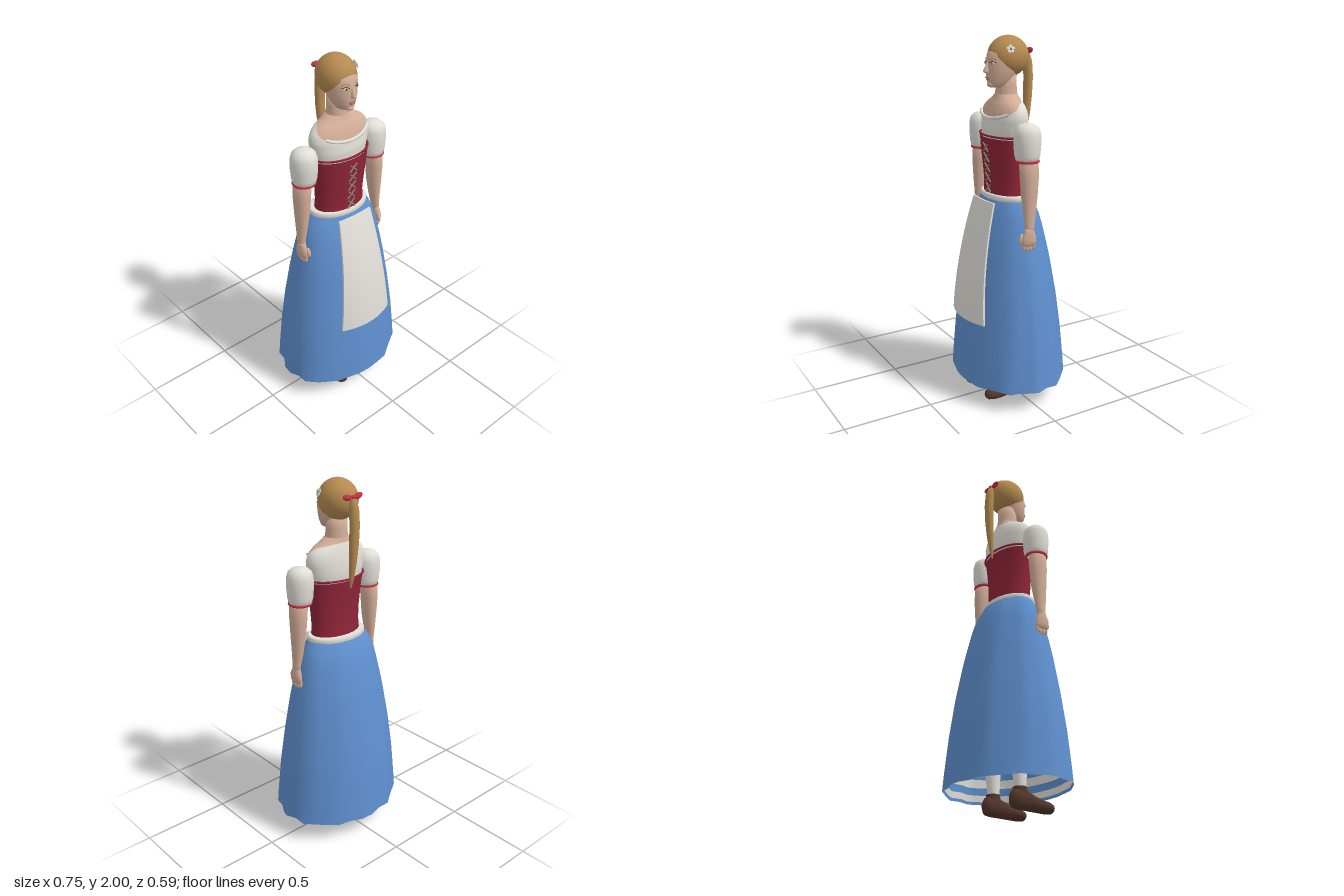
import * as THREE from 'three';

const mat = (name, color, side = THREE.FrontSide) => {
  const m = new THREE.MeshStandardMaterial({ color, side });
  m.name = name;
  return m;
};

// Rows are [y, halfWidth, frontZ, backZ, centreX], listed from low to high.
function sample(rows, y) {
  let i = 0;
  while (i < rows.length - 2 && y > rows[i + 1][0]) i++;
  const a = rows[i], b = rows[i + 1];
  const t = THREE.MathUtils.clamp((y - a[0]) / (b[0] - a[0]), 0, 1);
  return [y, 1, 2, 3, 4].map((_, k) => (k ? (a[k] || 0) + ((b[k] || 0) - (a[k] || 0)) * t : y));
}

// Closed rings of points joined into a smooth skin
function skin(rings, caps = false) {
  const n = rings[0].length, last = rings.length - 1;
  const pts = rings.flat(), idx = [];
  for (let i = 0; i < last; i++) for (let j = 0; j < n; j++) {
    const k = (j + 1) % n, a = i * n + j, b = i * n + k, c = a + n, d = b + n;
    idx.push(a, c, b, b, c, d);
  }
  if (caps) for (const r of [0, last]) {
    const mid = rings[r].reduce((s, p) => s.add(p), new THREE.Vector3()).divideScalar(n);
    const m = pts.push(mid) - 1;
    for (let j = 0; j < n; j++) {
      const a = r * n + j, b = r * n + (j + 1) % n;
      idx.push(m, ...(r ? [b, a] : [a, b]));
    }
  }
  const g = new THREE.BufferGeometry().setFromPoints(pts);
  g.setIndex(idx);
  g.computeVertexNormals();
  return g;
}

const ringPoint = ([y, rx, zf, zb, cx = 0], a) => new THREE.Vector3(
  cx + rx * Math.cos(a), y, (zf + zb) / 2 + (zf - zb) / 2 * Math.sin(a));
const angles = n => Array.from({ length: n }, (_, j) => j / n * Math.PI * 2);
const loft = (rows, n = 32, caps = true) => skin(rows.map(r => angles(n).map(a => ringPoint(r, a))), caps);

export function createModel() {
  const model = new THREE.Group();
  const D = THREE.DoubleSide;
  const flesh = mat('skin', 0xd3ae98), hairMat = mat('hair', 0xb58a50), white = mat('white linen', 0xe2dfd8, D),
    wine = mat('wine red', 0x8e2438, D), red = mat('ribbon red', 0xc83245), blue = mat('skirt blue', 0x5f90cf, D),
    brown = mat('shoe brown', 0x513629), lace = mat('lace grey', 0x8c8674), pink = mat('lips', 0xb0706a);

  const add = (name, geo, material, x = 0, y = 0, z = 0, parent = model) => {
    const m = new THREE.Mesh(geo, material);
    m.name = name;
    m.position.set(x, y, z);
    parent.add(m);
    return m;
  };
  const ball = (name, material, x, y, z, rx, ry, rz, parent) => {
    const m = add(name, new THREE.SphereGeometry(1, 24, 16), material, x, y, z, parent);
    m.scale.set(rx, ry, rz);
    return m;
  };
  const tube = (name, pts, r, material, closed = false) => add(name,
    new THREE.TubeGeometry(new THREE.CatmullRomCurve3(pts, closed), closed ? 64 : 24, r, 8, closed), material);

  // Skirt: folds are strongest at the hem and fade towards the waist
  const hem = [[0, -.3], [.075, -.294], [.137, -.264], [.213, -.25], [.3, -.165], [.354, -.105], [.35, -.042],
    [.374, .02], [.362, .06], [.33, .115], [.318, .171], [.25, .21], [.145, .278], [.08, .287], [0, .294],
    [-.072, .288], [-.209, .25], [-.3, .187], [-.354, .127], [-.354, .07], [-.376, .018], [-.37, -.04],
    [-.33, -.099], [-.32, -.161], [-.2, -.241], [-.147, -.28], [-.068, -.28]];
  const skirtRows = [[.115, .372, .295, -.295], [.2, .366, .291, -.29], [.4, .35, .274, -.272], [.6, .324, .25, -.247],
    [.8, .291, .219, -.212], [.9, .271, .2, -.19], [1, .248, .175, -.166], [1.06, .23, .155, -.148],
    [1.11, .208, .138, -.126], [1.15, .178, .12, -.105]];
  const skirtRing = (y, s = 1) => {
    const [, rx, zf, zb] = sample(skirtRows, y), w = ((1.15 - y) / 1.035) ** 1.5;
    return hem.map(([x, z]) => {
      const u = x / .372, v = z / .295, a = Math.atan2(v, u), mix = THREE.MathUtils.lerp;
      return new THREE.Vector3(s * rx * mix(Math.cos(a), u, w), y,
        (zf + zb) / 2 + s * (zf - zb) / 2 * mix(Math.sin(a), v, w));
    });
  };
  add('skirt', skin(skirtRows.map(r => skirtRing(r[0]))), blue);
  for (const [lo, hi] of [[.13, .165], [.205, .25]])
    add('innerHemBand', skin([skirtRing(lo, .985), skirtRing(hi, .985)]), white);

  // Apron: a thin plate bent around the front of the skirt
  const apron = new THREE.BoxGeometry(2, 1, .01, 16, 16, 1), p = apron.attributes.position;
  for (let i = 0; i < p.count; i++) {
    const u = p.getX(i), v = p.getY(i) + .5;
    p.setXYZ(i, u * (.175 - .065 * v), .485 + .655 * v,
      p.getZ(i) + .289 - .05 * v - .086 * v * v - u * u * (.04 - .032 * v));
  }
  apron.computeVertexNormals();
  add('apron', apron, white);

  // Waistband and bodice
  add('waistband', loft([[1.14, .172, .12, -.1], [1.146, .18, .128, -.107], [1.166, .18, .128, -.107],
    [1.173, .172, .12, -.1]], 40), white);
  const bodiceRows = [[1.16, .152, .116, -.082], [1.22, .148, .112, -.075], [1.3, .153, .118, -.075],
    [1.4, .165, .127, -.08], [1.475, .174, .131, -.088]];
  add('bodice', loft(bodiceRows, 40, false), wine);
  tube('bodiceTrim', angles(32).map(a => ringPoint([1.486, .174, .131, -.094], a)), .006, wine, true);

  // Lacing crosses down the front
  for (let i = 0; i < 5; i++) for (const s of [-1, 1]) {
    const at = (x, y) => new THREE.Vector3(x, y, sample(bodiceRows, y)[2] + .005);
    const y = 1.445 - i * .055;
    tube('lacing', [at(-.024 * s, y), at(0, y - .022), at(.024 * s, y - .045)], .004, lace);
  }
  tube('laceBow', [[-.022, 1.175], [0, 1.2], [.022, 1.175]].map(([x, y]) => new THREE.Vector3(x, y, .12)), .004, lace);

  // Upper torso, divided along the neckline into blouse and bare shoulders
  const chest = [[1.45, .16, .115, -.078], [1.52, .176, .12, -.085], [1.58, .186, .112, -.08], [1.62, .177, .1, -.072],
    [1.65, .148, .088, -.065], [1.675, .1, .075, -.057], [1.7, .062, .066, -.052]];
  const neckline = a => 1.655 - Math.sin(a) * (Math.sin(a) > 0 ? .075 : .022);
  const chestPatch = (lo, hi) => skin(Array.from({ length: 13 }, (_, i) => angles(48).map(a =>
    ringPoint(sample(chest, lo(a) + (hi(a) - lo(a)) * i / 12), a))));
  add('blouse', chestPatch(() => 1.45, neckline), white);
  add('shoulders', chestPatch(neckline, () => 1.7), flesh);
  tube('collar', Array.from({ length: 13 }, (_, i) => {
    const a = Math.PI * (.22 + .56 * i / 12);
    return ringPoint(sample(chest, neckline(a)), a).add(new THREE.Vector3(0, 0, .006));
  }), .009, white);
  add('neck', loft([[1.66, .064, .068, -.054], [1.7, .061, .065, -.052], [1.74, .058, .06, -.048],
    [1.8, .058, .055, -.048]]), flesh);

  // Head and face
  const faceRows = [[1.735, .022, .092, .02], [1.745, .042, .11, 0], [1.775, .06, .118, -.03], [1.82, .076, .121, -.06],
    [1.87, .083, .119, -.08], [1.91, .08, .111, -.08], [1.95, .06, .082, -.07]];
  add('head', loft(faceRows, 40), flesh);
  const faceZ = (x, y) => {
    const [, rx, zf, zb] = sample(faceRows, y);
    return (zf + zb) / 2 + (zf - zb) / 2 * Math.sqrt(1 - (x / rx) ** 2);
  };
  add('nose', loft([[1.808, .008, .128, .1], [1.815, .016, .141, .1], [1.823, .013, .144, .1], [1.845, .009, .131, .1],
    [1.87, .007, .121, .1]], 16), flesh);
  ball('upperLip', pink, 0, 1.788, .118, .022, .005, .008);
  ball('lowerLip', pink, 0, 1.779, .117, .017, .005, .008);
  ball('chin', flesh, 0, 1.752, .1, .024, .016, .018);
  for (const s of [-1, 1]) {
    const x = .036 * s;
    ball('eye', white, x, 1.861, faceZ(x, 1.861) - .002, .015, .007, .006);
    ball('iris', brown, x, 1.861, faceZ(x, 1.861) + .002, .006, .006, .004);
    const line = (name, y, lift, r, m) => tube(name, [-.018, 0, .018].map((d, i) => new THREE.Vector3(
      x + d, y + (i === 1 ? lift : 0), faceZ(x + d, y) + .001)), r, m);
    line('eyelid', 1.864, .007, .002, brown);
    line('eyebrow', 1.88, .006, .0025, hairMat);
  }

  // Hair and ponytail
  const hair = add('hair', new THREE.SphereGeometry(1, 40, 28), hairMat, 0, 1.893, -.005);
  hair.scale.set(.1, .107, .112);
  add('ponytail', loft([[1.44, .004, -.1, -.11], [1.5, .014, -.098, -.124], [1.58, .021, -.1, -.139],
    [1.68, .027, -.104, -.15], [1.78, .028, -.106, -.155], [1.86, .026, -.1, -.15], [1.9, .02, -.09, -.138],
    [1.93, .01, -.085, -.12]], 20), hairMat);

  // Ribbon bow
  ball('bowKnot', red, 0, 1.918, -.12, .012, .013, .013);
  for (const s of [-1, 1]) ball('bowLoop', red, .036 * s, 1.921, -.114, .029, .016, .012).rotation.z = .2 * s;

  // Flower on the left side of the hair
  const flower = new THREE.Group();
  flower.name = 'flower';
  flower.position.set(.094, 1.934, .035);
  flower.rotation.set(0, -.25, .35);
  model.add(flower);
  for (const a of angles(5))
    ball('petal', white, 0, .014 * Math.cos(a), .014 * Math.sin(a), .004, .009, .009, flower);
  ball('flowerCentre', lace, .004, 0, 0, .004, .006, .006, flower);

  // Arms, hands, legs and shoes, mirrored
  const sleeve = [[0, .05], [.004, .06], [.03, .067], [.09, .072], [.14, .071], [.17, .062], [.188, .042], [.195, .018],
    [.196, 0]].map(q => new THREE.Vector2(q[1], q[0]));
  for (const s of [-1, 1]) {
    const side = s > 0 ? 'left' : 'right';
    const c = rows => rows.map(r => [...r.slice(0, 4), r[4] * s]);
    add(side + 'Sleeve', new THREE.LatheGeometry(sleeve, 32), white, .237 * s, 1.38, .022);
    add(side + 'Cuff', new THREE.TorusGeometry(.056, .008, 10, 32).rotateX(Math.PI / 2), red, .239 * s, 1.381, .022);
    add(side + 'Arm', loft(c([[1, .02, .05, 0, .27], [1.04, .02, .051, -.003, .268], [1.1, .027, .057, -.013, .263],
      [1.2, .038, .066, -.025, .257], [1.3, .044, .072, -.032, .255], [1.4, .046, .074, -.032, .248]]), 24), flesh);
    add(side + 'Hand', loft(c([[.93, .013, .064, -.01, .268], [.95, .019, .07, -.014, .27], [.98, .021, .07, -.012, .271],
      [1.01, .02, .054, -.002, .27], [1.03, .019, .05, .001, .269]]), 20), flesh);
    for (let i = 0; i < 4; i++)
      ball(side + 'Finger', flesh, .266 * s, .925 + (i % 3 ? -.003 : .004), -.002 + i * .019, .011, .024, .0105);
    ball(side + 'Thumb', flesh, .258 * s, .972, .07, .011, .028, .011).rotation.x = -.25;
    add(side + 'Stocking', loft(c([[.06, .032, .032, -.032, .11], [.14, .032, .032, -.034, .11],
      [.32, .05, .04, -.06, .11], [.5, .05, .05, -.05, .11], [.95, .075, .075, -.07, .1]]), 20), white);
    // Shoe lofted from heel to toe, then laid on the ground
    const shoe = loft([[-.06, .018, -.02, -.08], [-.045, .036, -.004, -.098], [-.015, .042, 0, -.106],
      [.03, .042, 0, -.1], [.08, .042, 0, -.08], [.13, .048, 0, -.066], [.17, .045, 0, -.06], [.195, .032, -.004, -.053],
      [.206, .016, -.014, -.042]], 24).rotateX(Math.PI / 2);
    add(side + 'Shoe', shoe, brown, .112 * s);
    add(side + 'ShoeCollar', new THREE.CylinderGeometry(.036, .04, .05, 24), brown, .11 * s, .088, -.002);
  }
  return model;
}
